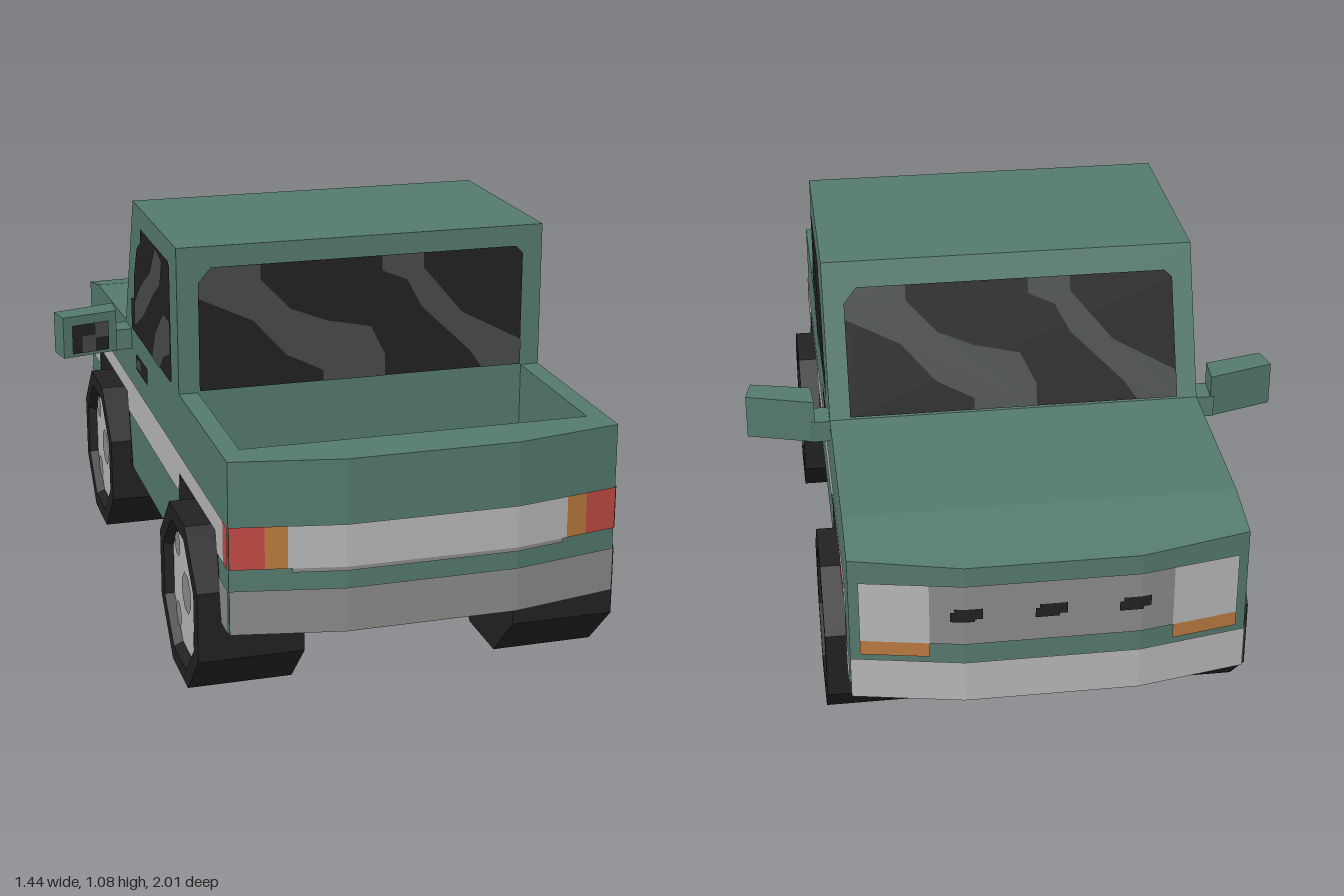
import * as THREE from 'three';

const mat = (name, color) => {
  const m = new THREE.MeshStandardMaterial({ color, side: THREE.DoubleSide });
  m.name = name;
  return m;
};

export function createModel() {
  const green = mat('body green', 0x557a6e);
  const dark = mat('rubber and glass black', 0x222222);
  const streak = mat('glass reflection', 0x474a4b);
  const silver = mat('light trim', 0xb8b8b8);
  const grey = mat('grey trim', 0x8b8b89);
  const red = mat('red lamp', 0xc24b45);
  const orange = mat('orange lamp', 0xba7a40);

  const truck = new THREE.Group();
  truck.name = 'pickupTruck';

  const add = (parent, name, geometry, material) => {
    const mesh = new THREE.Mesh(geometry, material);
    mesh.name = name;
    parent.add(mesh);
    return mesh;
  };
  const shape = (pts) => new THREE.Shape(pts.map(([x, y]) => new THREE.Vector2(x, y)));

  // Open skin through profiles of [z, y] points placed at each x
  const loft = (xs, profile) => {
    const rows = xs.map((x) => profile(x).map(([z, y]) => [x, y, z]));
    const pos = [];
    for (let i = 0; i + 1 < rows.length; i++) {
      for (let j = 0; j + 1 < rows[i].length; j++) {
        const a = rows[i][j], b = rows[i + 1][j], c = rows[i + 1][j + 1], d = rows[i][j + 1];
        pos.push(...a, ...b, ...c, ...a, ...c, ...d);
      }
    }
    const g = new THREE.BufferGeometry();
    g.setAttribute('position', new THREE.Float32BufferAttribute(pos, 3));
    g.computeVertexNormals();
    return g;
  };
  // Both ends of the body taper back towards the corners
  const endZ = (x) => 1 - Math.max(0, Math.abs(x) - 0.22) / 0.28 * 0.055;
  const corners = [-0.5, -0.22, 0.22, 0.5];

  // Hood and nose, tailgate
  add(truck, 'hoodAndNose', loft(corners, (x) => {
    const z = endZ(x);
    return [[-0.325, 0.695], [-0.79, 0.68], [-z, 0.64 + (1 - z) * 0.19], [-z, 0.25]];
  }), green);
  add(truck, 'tailgate', loft(corners, (x) =>
    [[endZ(x), 0.25], [endZ(x), 0.695], [0.865, 0.695], [0.865, 0.46]]), green);

  // Cab
  const cab = new THREE.ExtrudeGeometry(
    shape([[-0.41, 0.69], [0.325, 0.695], [0.165, 1.085], [-0.41, 1.085]]),
    { depth: 1, bevelEnabled: false });
  cab.rotateY(Math.PI / 2).translate(-0.5, 0, 0);
  add(truck, 'cab', cab, green);

  // Bed interior and underside
  add(truck, 'bedFrontWall', new THREE.PlaneGeometry(0.9, 0.24), green).position.set(0, 0.58, 0.41);
  add(truck, 'bedFloor', new THREE.PlaneGeometry(0.9, 0.46).rotateX(-Math.PI / 2), green)
    .position.set(0, 0.468, 0.638);
  add(truck, 'underside', loft(corners, (x) => [[-endZ(x), 0.251], [endZ(x), 0.251]]), dark);

  // Painted bands that follow the tapered ends; dir is 1 for rear, -1 for nose
  const band = (name, dir, x0, x1, y0, y1, material, lift = 0.004) => {
    const xs = [x0, ...[-0.22, 0.22].filter((x) => x > x0 && x < x1), x1];
    add(truck, name, loft(xs, (x) => {
      const z = dir * (endZ(x) + lift);
      return [[z, y0], [z, y1]];
    }), material);
  };
  band('rearBumper', 1, -0.5, 0.5, 0.25, 0.365, grey);
  band('tailgatePanel', 1, -0.36, 0.36, 0.42, 0.53, silver);
  band('tailgatePanelEdge', 1, -0.35, 0.35, 0.41, 0.42, grey);
  band('frontBumper', -1, -0.5, 0.5, 0.25, 0.365, silver);
  band('grille', -1, -0.305, 0.305, 0.42, 0.59, grey);
  for (const x of [-0.21, 0, 0.21]) {
    band('grilleSlot', -1, x - 0.035, x + 0.035, 0.495, 0.525, dark, 0.007);
    band('grilleSlotEnd', -1, x - 0.015, x + 0.045, 0.488, 0.515, dark, 0.0075);
  }
  for (const s of [-1, 1]) {
    const pair = (name, dir, a, b, y0, y1, m) =>
      band(name, dir, Math.min(s * a, s * b), Math.max(s * a, s * b), y0, y1, m);
    pair('tailLamp', 1, 0.415, 0.5, 0.42, 0.53, red);
    pair('rearIndicator', 1, 0.36, 0.415, 0.42, 0.53, orange);
    pair('headlight', -1, 0.305, 0.475, 0.42, 0.59, silver);
    pair('frontIndicator', -1, 0.305, 0.475, 0.38, 0.42, orange);
  }

  // Front and rear glass share one pane with two reflections
  const paneParts = [
    [dark, 0, [[-0.445, 0.7], [0.445, 0.7], [0.445, 1.01], [0.425, 1.03], [-0.41, 1.03], [-0.445, 0.99]]],
    [streak, 0.003, [[-0.41, 1.03], [-0.28, 1.03], [-0.28, 0.99], [-0.2, 0.905], [-0.1, 0.865], [0.02, 0.84],
      [0.06, 0.76], [0.06, 0.7], [-0.11, 0.7], [-0.11, 0.73], [-0.21, 0.78], [-0.3, 0.88], [-0.445, 0.95], [-0.445, 0.99]]],
    [streak, 0.003, [[0.05, 1.03], [0.165, 1.03], [0.165, 0.99], [0.275, 0.86], [0.445, 0.77], [0.445, 0.7],
      [0.335, 0.7], [0.3, 0.75], [0.16, 0.885], [0.12, 0.96], [0.05, 0.99]]],
  ];
  const pane = (name, stretch) => {
    const g = new THREE.Group();
    g.name = name;
    for (const [m, z, pts] of paneParts) {
      const geo = new THREE.ShapeGeometry(shape(pts.map(([x, y]) => [x, (y - 0.695) * stretch])));
      add(g, name + (m === dark ? 'Glass' : 'Reflection'), geo, m).position.z = z + 0.004;
    }
    truck.add(g);
    return g;
  };
  pane('rearWindow', 1).position.set(0, 0.695, 0.41);
  const windshield = pane('windshield', 1.05);
  windshield.position.set(0, 0.695, -0.325);
  windshield.rotation.set(-Math.atan2(0.16, 0.39), Math.PI, 0, 'YXZ');

  // One flank, mirrored for the other; outlines are [z, y]
  const buildSide = () => {
    const side = new THREE.Group();
    const outline = (pts) => shape(pts.map(([z, y]) => [-z, y]));
    const plate = (name, pts, m, x = 0.503) =>
      add(side, name, new THREE.ShapeGeometry(outline(pts)).rotateY(Math.PI / 2), m).position.x = x;

    const panel = new THREE.ExtrudeGeometry(outline([
      [0.945, 0.25], [0.945, 0.695], [-0.325, 0.695], [-0.79, 0.68], [-0.945, 0.65], [-0.945, 0.25],
      [-0.83, 0.25], [-0.775, 0.475], [-0.325, 0.475], [-0.28, 0.25],
      [0.36, 0.25], [0.41, 0.475], [0.82, 0.475], [0.87, 0.25]]), { depth: 0.05, bevelEnabled: false });
    add(side, 'sidePanel', panel.rotateY(Math.PI / 2), green).position.x = 0.45;

    // Trim and lamps
    plate('sideStripe', [[0.9, 0.42], [0.9, 0.53], [-0.885, 0.53], [-0.885, 0.42], [-0.788, 0.42],
      [-0.775, 0.475], [-0.325, 0.475], [-0.314, 0.42], [0.398, 0.42], [0.41, 0.475], [0.82, 0.475], [0.832, 0.42]], silver);
    plate('rearBumperEnd', [[0.945, 0.25], [0.945, 0.365], [0.845, 0.365], [0.87, 0.25]], grey);
    plate('frontBumperEnd', [[-0.945, 0.25], [-0.945, 0.365], [-0.802, 0.365], [-0.83, 0.25]], silver);
    plate('tailLampSide', [[0.945, 0.42], [0.945, 0.53], [0.9, 0.53], [0.9, 0.42]], red);
    plate('sideMarker', [[-0.72, 0.475], [-0.72, 0.525], [-0.83, 0.525], [-0.83, 0.475]], red, 0.506);
    plate('doorHandle', [[0, 0.59], [0, 0.64], [-0.15, 0.64], [-0.165, 0.63], [-0.165, 0.59]], dark);
    plate('doorHandleShine', [[-0.09, 0.6], [-0.09, 0.63], [-0.155, 0.63], [-0.155, 0.6]], streak, 0.505);

    // Side window
    plate('sideWindow', [[0.335, 0.71], [0.335, 1.02], [0.32, 1.03], [-0.05, 1.03], [-0.055, 0.99], [-0.11, 0.96],
      [-0.165, 0.86], [-0.17, 0.8], [-0.215, 0.79], [-0.215, 0.7], [0.32, 0.7]], dark);
    plate('sideWindowReflection', [[0.335, 0.87], [0.25, 0.87], [0.13, 0.78], [0.08, 0.7], [0.19, 0.7],
      [0.25, 0.75], [0.335, 0.78]], streak, 0.505);
    plate('sideWindowReflection', [[0.25, 1.01], [0.16, 1.03], [0.08, 0.94], [-0.07, 0.86], [-0.16, 0.79],
      [-0.16, 0.72], [-0.02, 0.79], [0.11, 0.88], [0.22, 0.94]], streak, 0.505);

    // Door mirror
    const housing = new THREE.ExtrudeGeometry(
      shape([[0.54, 0.32], [0.72, 0.265], [0.705, 0.195], [0.545, 0.235]]), { depth: 0.12, bevelEnabled: false });
    add(side, 'mirrorHousing', housing.rotateX(-Math.PI / 2), green).position.y = 0.63;
    add(side, 'mirrorArm', new THREE.BoxGeometry(0.06, 0.06, 0.08), green).position.set(0.52, 0.66, -0.28);
    const lens = (x0, x1, y0, y1, m, lift) => {
      const z = (x) => -0.235 + (x - 0.545) * 0.25 + lift;
      add(side, 'mirrorLens', loft([x0, x1], (x) => [[z(x), y0], [z(x), y1]]), m);
    };
    lens(0.57, 0.68, 0.64, 0.725, dark, 0.004);
    lens(0.57, 0.61, 0.68, 0.725, streak, 0.006);
    lens(0.61, 0.65, 0.64, 0.69, streak, 0.006);

    // Wheel arches and octagonal wheels
    const arches = [[0.87, 0.82, 0.41, 0.36, 0.612], [-0.28, -0.325, -0.775, -0.83, -0.555]];
    for (const [a, b, c, d, z] of arches) {
      add(side, 'wheelArch', loft([0.456, 0.502], (x) => {
        const t = x < 0.5 ? 0.025 : 0;
        return [[a - t, 0.25], [b - t, 0.475 - t], [c + t, 0.475 - t], [d + t, 0.25]];
      }), dark);
      plate('wheelArchBack', [[a, 0.25], [b, 0.475], [c, 0.475], [d, 0.25]], dark, 0.456);

      const wheel = new THREE.Group();
      wheel.name = z > 0 ? 'rearWheel' : 'frontWheel';
      wheel.position.set(0, 0.2225, z);
      const profile = [[0, 0.28], [0.2408, 0.28], [0.2408, 0.555], [0.195, 0.555], [0.18, 0.53]]
        .map(([r, y]) => new THREE.Vector2(r, y));
      const tyre = new THREE.LatheGeometry(profile, 8, Math.PI / 8).toNonIndexed();
      tyre.computeVertexNormals();
      add(wheel, 'tyre', tyre.rotateZ(-Math.PI / 2), dark);
      const disc = (name, r, x, y, dz, m) =>
        add(wheel, name, new THREE.CircleGeometry(r, 8, Math.PI / 8).rotateY(Math.PI / 2), m).position.set(x, y, dz);
      disc('hubcap', 0.181, 0.531, 0, 0, silver);
      disc('hubCentre', 0.056, 0.534, 0, 0, grey);
      for (const sy of [-1, 1]) for (const sz of [-1, 1]) {
        disc('hubRecess', 0.036, 0.534, sy * 0.1, sz * 0.1, grey);
      }
      side.add(wheel);
    }
    return side;
  };
  for (const s of [1, -1]) {
    const side = buildSide();
    side.name = s > 0 ? 'leftSide' : 'rightSide';
    side.scale.x = s;
    truck.add(side);
  }
  return truck;
}
